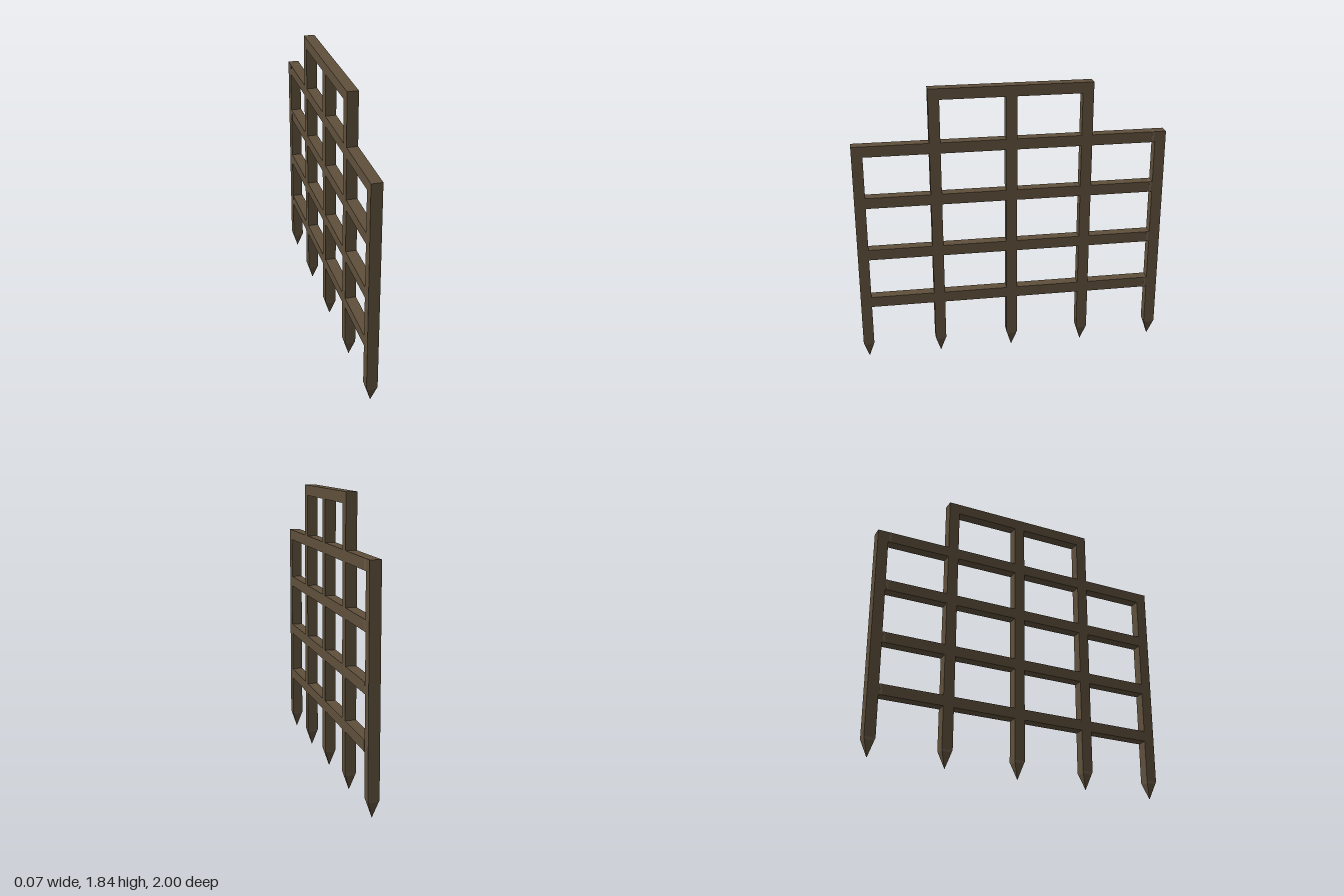
import * as THREE from 'three';

const W = 0.07;            // beam thickness
const TIP = 0.115;         // height of the pointed foot
const BAND = 0.1;          // start of the worn edge on the foot

export function createModel() {
  const wood = new THREE.MeshStandardMaterial({ color: 0x5e4f3b });
  wood.name = 'brown wood';
  const worn = new THREE.MeshStandardMaterial({ color: 0x6c5e4b });
  worn.name = 'worn wood';

  const model = new THREE.Group();
  model.name = 'latticeFence';

  const add = (parent, name, geometry, material, y, z) => {
    const mesh = new THREE.Mesh(geometry, material);
    mesh.name = name;
    mesh.position.set(0, y, z);
    parent.add(mesh);
    return mesh;
  };

  // square taper whose flat sides face the axes
  const taper = (top, bottom, h) => {
    const g = new THREE.CylinderGeometry(top * Math.SQRT1_2, bottom * Math.SQRT1_2, h, 4, 1).toNonIndexed();
    g.rotateY(Math.PI / 4);
    g.computeVertexNormals();
    return g;
  };

  // upright posts with pointed feet
  const postZ = [-0.965, -0.483, 0, 0.483, 0.965];
  const postTop = [1.495, 1.77, 1.77, 1.77, 1.495];
  postZ.forEach((z, i) => {
    const post = new THREE.Group();
    post.name = 'post' + (i + 1);
    const h = postTop[i] - TIP;
    add(post, 'postShaft', new THREE.BoxGeometry(W, h, W), wood, TIP + h / 2, z);
    const neck = W * BAND / TIP;
    add(post, 'footEdge', taper(W, neck, TIP - BAND), worn, (TIP + BAND) / 2, z);
    add(post, 'footPoint', taper(neck, 0, BAND), wood, BAND / 2, z);
    model.add(post);
  });

  // cross rails, in segments fitted between the posts
  [0.42, 0.76, 1.118, 1.46].forEach((y, r) => {
    const rail = new THREE.Group();
    rail.name = 'rail' + (r + 1);
    for (let i = 0; i < postZ.length - 1; i++) {
      const length = postZ[i + 1] - postZ[i] - W;
      add(rail, 'railSegment', new THREE.BoxGeometry(W, W, length), wood, y, (postZ[i] + postZ[i + 1]) / 2);
    }
    // worn strip beside the end post
    add(rail, 'wornEnd', new THREE.BoxGeometry(W + 0.002, W, 0.014), worn, y, -0.917);
    model.add(rail);
  });

  // raised top rail over the three middle posts
  add(model, 'topRail', new THREE.BoxGeometry(W, W, 0.966 + W), wood, 1.805, 0);

  return model;
}
